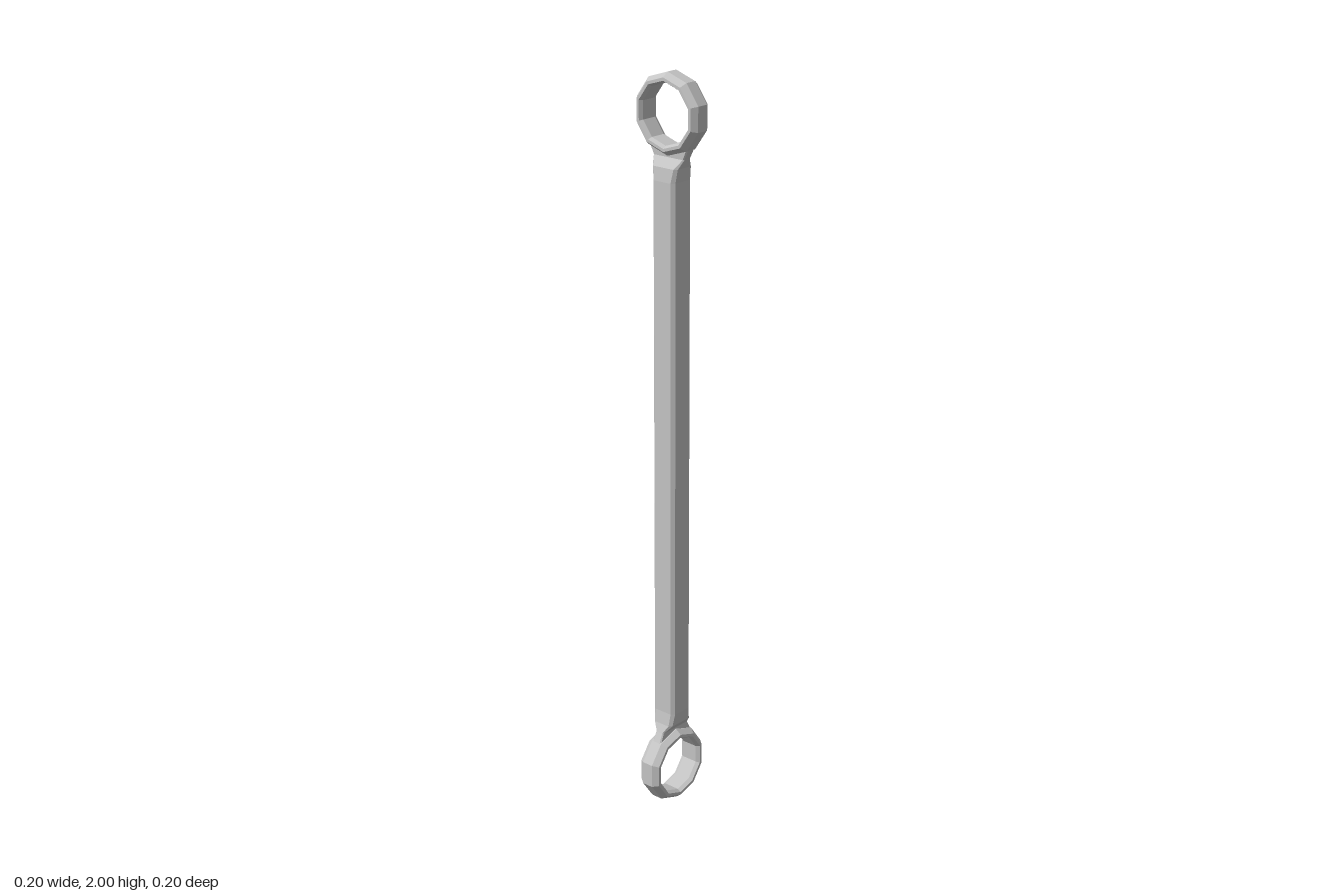
import * as THREE from 'three';

const steel = new THREE.MeshStandardMaterial({ color: 0xc4c4c4 });
steel.name = 'light steel grey';

// Faceted mesh: one normal per face
function faceted(geometry, name) {
  const g = geometry.index ? geometry.toNonIndexed() : geometry;
  g.computeVertexNormals();
  const mesh = new THREE.Mesh(g, steel);
  mesh.name = name;
  return mesh;
}

// Closed loft through chamfered rectangles [y, halfX, halfZ], listed upwards
function loft(sections) {
  const pos = [], index = [];
  for (const [y, a, b] of sections) {
    const c = Math.min(a, b) * 0.24;
    const ring = [[a, b - c], [a - c, b], [c - a, b], [-a, b - c], [-a, c - b], [c - a, -b], [a - c, -b], [a, c - b]];
    for (const [x, z] of ring) pos.push(x, y, z);
  }
  const last = (sections.length - 1) * 8;
  for (let s = 0; s < last; s += 8) {
    for (let i = 0; i < 8; i++) {
      const j = (i + 1) % 8;
      index.push(s + i, s + 8 + i, s + j, s + j, s + 8 + i, s + 8 + j);
    }
  }
  for (let i = 1; i < 7; i++) {
    index.push(0, i, i + 1, last, last + i + 1, last + i);
  }
  const g = new THREE.BufferGeometry();
  g.setAttribute('position', new THREE.Float32BufferAttribute(pos, 3));
  g.setIndex(index);
  return g;
}

// Ring head with a bevelled rim, its hole facing along z
function ringHead(name) {
  const profile = [
    [0.078, -0.022], [0.084, -0.032], [0.092, -0.032], [0.104, -0.016],
    [0.104, 0.016], [0.092, 0.032], [0.084, 0.032], [0.078, 0.022], [0.078, -0.022],
  ].map(([r, h]) => new THREE.Vector2(r, h));
  const g = new THREE.LatheGeometry(profile, 10);
  g.rotateX(Math.PI / 2);
  return faceted(g, name);
}

export function createModel() {
  const group = new THREE.Group();
  group.name = 'ringWrench';

  // Half of the bar: flared flat neck, then the chamfered shank
  const neck = [
    [0.187, 0.062, 0.014], [0.212, 0.05, 0.013], [0.235, 0.041, 0.032], [0.27, 0.036, 0.036],
  ];
  // The upper end repeats the neck, turned a quarter turn
  const upper = neck.map(([y, a, b]) => [2 - y, b, a]).reverse();
  group.add(faceted(loft([...neck, ...upper]), 'shank'));

  const lower = ringHead('lowerRing');
  lower.position.y = 0.104;
  const top = ringHead('upperRing');
  top.rotation.y = Math.PI / 2;
  top.position.y = 2 - 0.104;
  group.add(lower, top);
  return group;
}
